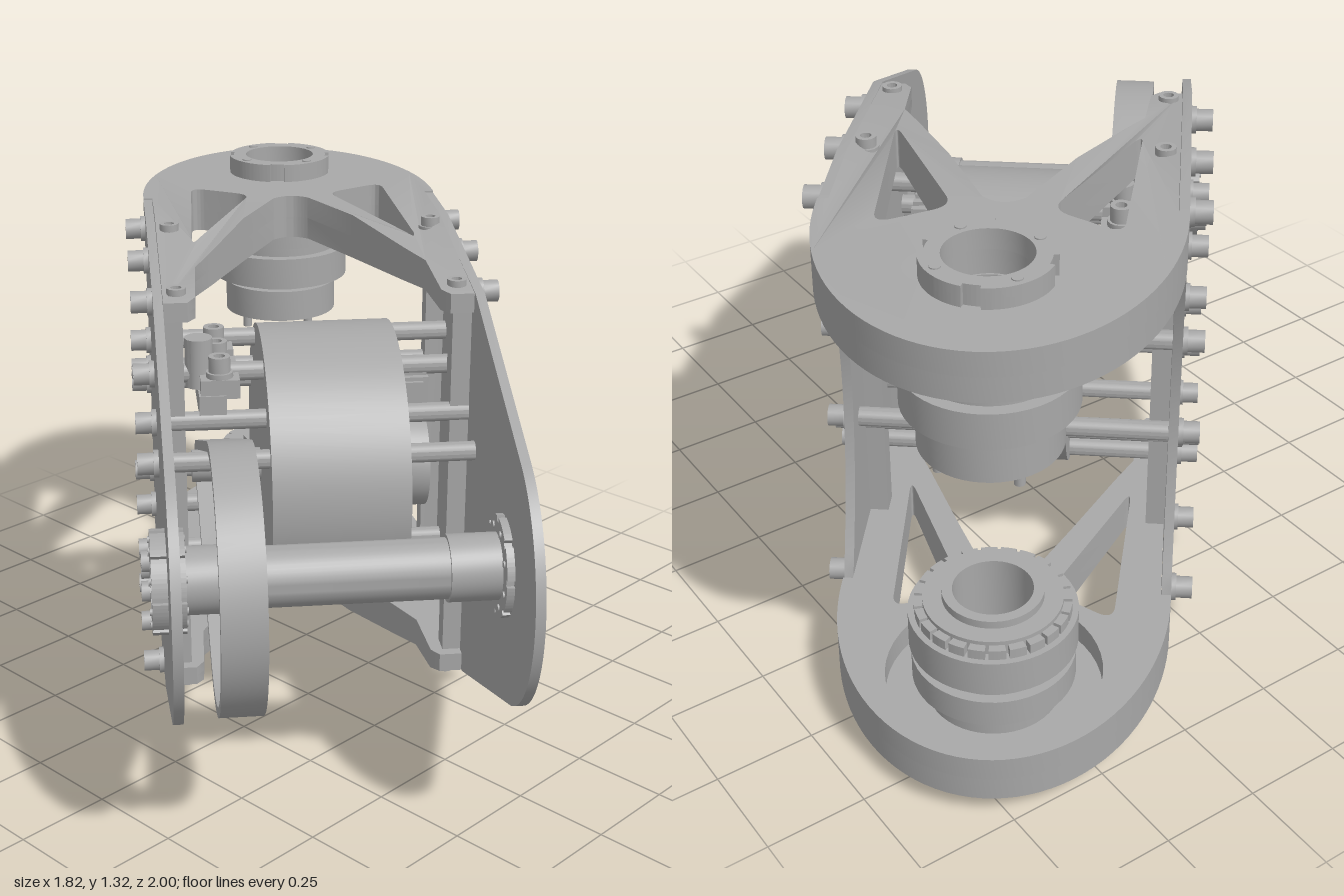
import * as THREE from 'three';
import { toCreasedNormals } from 'three/addons/utils/BufferGeometryUtils.js';

// Arm frame: x across, y up, the arm runs along u = -z. MID is the height of the symmetry plane.
const MID = 0.655, TOP = 1.31, HUB = 0.936, NOSE = -0.59, MOTOR = 0.11;
const metal = new THREE.MeshStandardMaterial({ color: 0xa8a8a8 });
metal.name = 'grey metal';

function add(parent, name, geometry, x = 0, y = 0, u = 0) {
  const mesh = new THREE.Mesh(geometry, metal);
  mesh.name = name;
  mesh.position.set(x, y, -u);
  parent.add(mesh);
  return mesh;
}

const crease = (g) => toCreasedNormals(g, 0.6);
const box = (x, y, u) => new THREE.BoxGeometry(x, y, u);
const rod = (r, length, seg = 20) => new THREE.CylinderGeometry(r, r, length, seg).rotateZ(Math.PI / 2);
const lathe = (pts, seg = 40) =>
  crease(new THREE.LatheGeometry(pts.map((p) => new THREE.Vector2(p[0], p[1])), seg));

// Hollow turned part made of steps [radius, y0, y1] listed from the bottom up
function turned(bore, steps) {
  const pts = [[bore, steps[0][1]]];
  steps.forEach(([r, y0, y1]) => pts.push([r, y0], [r, y1]));
  pts.push([bore, steps[steps.length - 1][2]], [bore, steps[0][1]]);
  return lathe(pts, 48);
}

function extrude(shape, depth) {
  return crease(new THREE.ExtrudeGeometry(shape, { depth, bevelEnabled: false, curveSegments: 24 }));
}
// Shape drawn in (u, y), thickened across x
const sideways = (shape, depth) => extrude(shape, depth).rotateY(Math.PI / 2).translate(-depth / 2, 0, 0);
// Shape drawn in (x, u), thickened upwards
const upright = (shape, depth) => extrude(shape, depth).rotateX(-Math.PI / 2);

const circle = (x, y, r) => new THREE.Path().absarc(x, y, r, 0, Math.PI * 2, true);

function roundedHole(points, r) {
  const path = new THREE.Path(), v = points.map((p) => new THREE.Vector2(...p)), n = v.length;
  v.forEach((p, i) => {
    const a = p.clone().add(v[(i + n - 1) % n].clone().sub(p).setLength(r));
    const b = p.clone().add(v[(i + 1) % n].clone().sub(p).setLength(r));
    if (i) path.lineTo(a.x, a.y); else path.moveTo(a.x, a.y);
    path.quadraticCurveTo(p.x, p.y, b.x, b.y);
  });
  path.closePath();
  return path;
}

// Flat ring with notches cut in its rim
function notchedRing(r, bore, count, depth, cut = 0.012) {
  const shape = new THREE.Shape(), step = (Math.PI * 2) / count;
  for (let i = 0; i < count; i++) {
    const a = i * step;
    shape.absarc(0, 0, r, a, a + step * 0.82, false);
    shape.absarc(0, 0, r - cut, a + step * 0.82, a + step, false);
  }
  shape.closePath();
  shape.holes.push(circle(0, 0, bore));
  return extrude(shape, depth);
}

// Side plate: round nose, tapered body, concave rear edge
function sidePlateShape() {
  const s = new THREE.Shape(), a = 1.91;
  s.absarc(NOSE, MID, 0.335, a, Math.PI * 2 - a, false);
  [[-0.138, 0.12], [0.395, 0.055], [0.645, 0.055], [0.62, 0.18]].forEach((p) => s.lineTo(...p));
  s.quadraticCurveTo(0.38, MID, 0.62, 1.13);
  [[0.645, 1.255], [0.395, 1.255], [-0.138, 1.19]].forEach((p) => s.lineTo(...p));
  s.closePath();
  s.holes.push(circle(NOSE, MID, 0.075));
  return s;
}

// Fork slab: two arms, diagonal ribs, round end
function forkShape(bore) {
  const half = [[0.05, 0.6], [0.15, 0.395], [0.255, 0.17], [0.3, 0.08], [0.31, -0.1],
    [0.33, -0.13], [0.39, -0.13], [0.39, 0.395], [0.39, 0.64], [0.415, 0.64]];
  const s = new THREE.Shape();
  half.forEach((p, i) => (i ? s.lineTo(...p) : s.moveTo(...p)));
  s.absellipse(0, 0.66, 0.415, 0.58, 0, Math.PI, false);
  half.reverse().forEach(([x, u]) => s.lineTo(-x, u));
  s.quadraticCurveTo(0, 0.65, 0.05, 0.6);
  s.holes.push(circle(0, HUB, bore));
  for (const m of [-1, 1]) {
    s.holes.push(roundedHole([[0.11, 0.65], [0.275, 0.745], [0.3, 0.22]].map(([x, u]) => [m * x, u]), 0.05));
  }
  return s;
}

// Arms get thinner towards the nose
function taper(g, base) {
  const p = g.attributes.position;
  for (let i = 0; i < p.count; i++) {
    const k = Math.max(0, (0.395 + p.getZ(i)) / 0.525) * 0.58;
    p.setY(i, base + (p.getY(i) - base) * (1 - k));
  }
  return crease(g);
}

const boltGeo = lathe([[0.035, 0], [0.035, 0.014], [0.028, 0.014], [0.028, 0.055],
  [0.015, 0.055], [0.015, 0.03], [0, 0.03]], 16);
const pinGeo = new THREE.CylinderGeometry(0.013, 0.013, 0.05, 12);

// Fork with its pivot joint, drawn as the upper one
function fork(isUpper) {
  const g = new THREE.Group();
  g.name = isUpper ? 'upperFork' : 'lowerFork';
  add(g, 'forkOuterSlab', taper(upright(forkShape(0.1), 0.06).translate(0, 1.2, 0), 1.14));
  add(g, 'forkInnerRim', taper(upright(forkShape(0.26), 0.06).translate(0, 1.14, 0), 1.14));
  add(g, 'pivotFlange', notchedRing(0.148, 0.1, 4, 0.05).rotateX(-Math.PI / 2), 0, 1.26, HUB);
  const steps = [[0.17, 1.04, 1.07], [0.195, 1.07, 1.14], [0.16, 1.14, 1.2]];
  const upper = [[0.165, 0.84, 0.93], [0.14, 0.93, 0.95], [0.2, 0.95, 1.04]];
  const lower = [[0.12, 0.895, 0.915], [0.165, 0.915, 0.95], [0.2, 0.95, 1.04]];
  add(g, 'pivotBearing', turned(0.095, [...(isUpper ? upper : lower), ...steps]), 0, 0, HUB);
  if (!isUpper) add(g, 'toothedRing', notchedRing(0.185, 0.12, 24, 0.03, 0.02).rotateX(-Math.PI / 2), 0, 0.925, HUB);
  for (let i = 0; i < 4; i++) {
    const a = i * Math.PI / 2 + 0.6, c = Math.cos(a), s = Math.sin(a);
    add(g, 'flangeScrew', pinGeo, c * 0.124, 1.288, HUB + s * 0.124);
    if (isUpper) add(g, 'pivotPin', pinGeo, c * 0.13, 0.825, HUB + s * 0.13);
  }
  for (const x of [-0.355, 0.355]) {
    add(g, 'armScrew', boltGeo, x, 1.185, -0.07).scale.set(0.9, 0.5, 0.9);
    add(g, 'armScrew', boltGeo, x, 1.235, 0.335).scale.set(0.9, 0.6, 0.9);
  }
  if (!isUpper) {
    g.rotation.z = Math.PI;
    g.position.y = TOP;
  }
  return g;
}

// Bolt positions (u, height above the middle)
const edgeBolts = [[-0.03, 0.51], [0.255, 0.535], [0.53, 0.548]];
const motorBolts = [[-0.01, 0.31], [0.265, 0.31], [-0.085, 0.205], [0.335, 0.205], [-0.19, 0.135], [0.425, 0.135]];

function beltShape() {
  const s = new THREE.Shape(), hole = new THREE.Path(), R = 0.325, r = 0.07, t = 0.025;
  const a = Math.acos((R - r) / (MOTOR - NOSE));
  for (const [path, d] of [[s, 0], [hole, t]]) {
    path.absarc(NOSE, MID, R - d, a, Math.PI * 2 - a, false);
    path.absarc(MOTOR, MID, r - d, -a, a, false);
    path.closePath();
  }
  s.holes.push(hole);
  return s;
}

export function createModel() {
  const model = new THREE.Group(), arm = new THREE.Group();
  model.name = 'forkedArmLink';
  arm.name = 'arm';
  arm.rotation.y = -0.692;
  arm.position.set(0.012, 0, 0.01);
  model.add(arm);

  // Both sides: plate, nose bearing, posts and bolts
  for (const m of [-1, 1]) {
    const side = new THREE.Group();
    side.name = m > 0 ? 'leftSide' : 'rightSide';
    arm.add(side);
    add(side, 'sidePlate', sideways(sidePlateShape(), 0.024), m * 0.403, 0, 0);
    const flange = notchedRing(0.125, 0.075, 8, 0.08).rotateY(Math.PI / 2).translate(-0.04, 0, 0);
    add(side, 'noseBearing', flange, m * 0.412, MID, NOSE);
    for (let i = 0; i < 8; i++) {
      const a = (i + 0.4) * Math.PI / 4;
      add(side, 'bearingScrew', rod(0.009, 0.088, 8), m * 0.412, MID + Math.sin(a) * 0.1, NOSE + Math.cos(a) * 0.1);
    }
    for (const u of [-0.07, 0.325]) add(side, 'post', box(0.05, 1.0, 0.06), m * 0.367, MID, u);
    for (const [u, h] of [...edgeBolts, ...motorBolts]) {
      for (const v of [-1, 1]) add(side, 'plateBolt', boltGeo, m * 0.414, MID + v * h, u).rotation.z = -m * Math.PI / 2;
    }
  }

  arm.add(fork(true), fork(false));

  // Nose shaft with thicker ends
  const shaft = turned(0.06, [[0.082, -0.375, -0.25], [0.074, -0.25, 0.25], [0.082, 0.25, 0.375]]);
  add(arm, 'noseShaft', shaft.rotateZ(-Math.PI / 2), 0, MID, NOSE);

  // Motor, its tie rods and the drive belt
  add(arm, 'motorBody', crease(rod(0.38, 0.355, 72)), 0.043, MID, MOTOR);
  add(arm, 'motorHub', crease(rod(0.13, 0.1, 32)), 0.26, MID, MOTOR);
  add(arm, 'drivePulley', crease(rod(0.044, 0.2, 24)), -0.22, MID, MOTOR);
  add(arm, 'driveBelt', sideways(beltShape(), 0.106), -0.255, 0, 0);
  for (const [u, h] of motorBolts) {
    for (const v of [-1, 1]) add(arm, 'tieRod', crease(rod(0.025, 0.79, 16)), 0, MID + v * h, u);
  }

  // Belt tensioner beside the motor
  const tensioner = new THREE.Group();
  tensioner.name = 'beltTensioner';
  arm.add(tensioner);
  add(tensioner, 'tensionerBar', box(0.07, 0.06, 0.34), -0.27, 0.9, 0.07);
  for (const u of [-0.06, 0.06, 0.18]) {
    add(tensioner, 'tensionerBlock', box(0.1, 0.05, 0.07), -0.25, 0.945, u);
    add(tensioner, 'tensionerScrew', boltGeo, -0.25, 0.97, u);
  }
  add(tensioner, 'tensionerPost', crease(new THREE.CylinderGeometry(0.036, 0.036, 0.13, 20)), -0.3, 0.995, -0.01);

  // Ribbed connector on the other motor face
  add(arm, 'connector', box(0.05, 0.08, 0.2), 0.25, 0.9, 0.02);
  for (let i = 0; i < 5; i++) add(arm, 'connectorRib', box(0.07, 0.1, 0.018), 0.255, 0.9, -0.06 + i * 0.04);
  return model;
}
